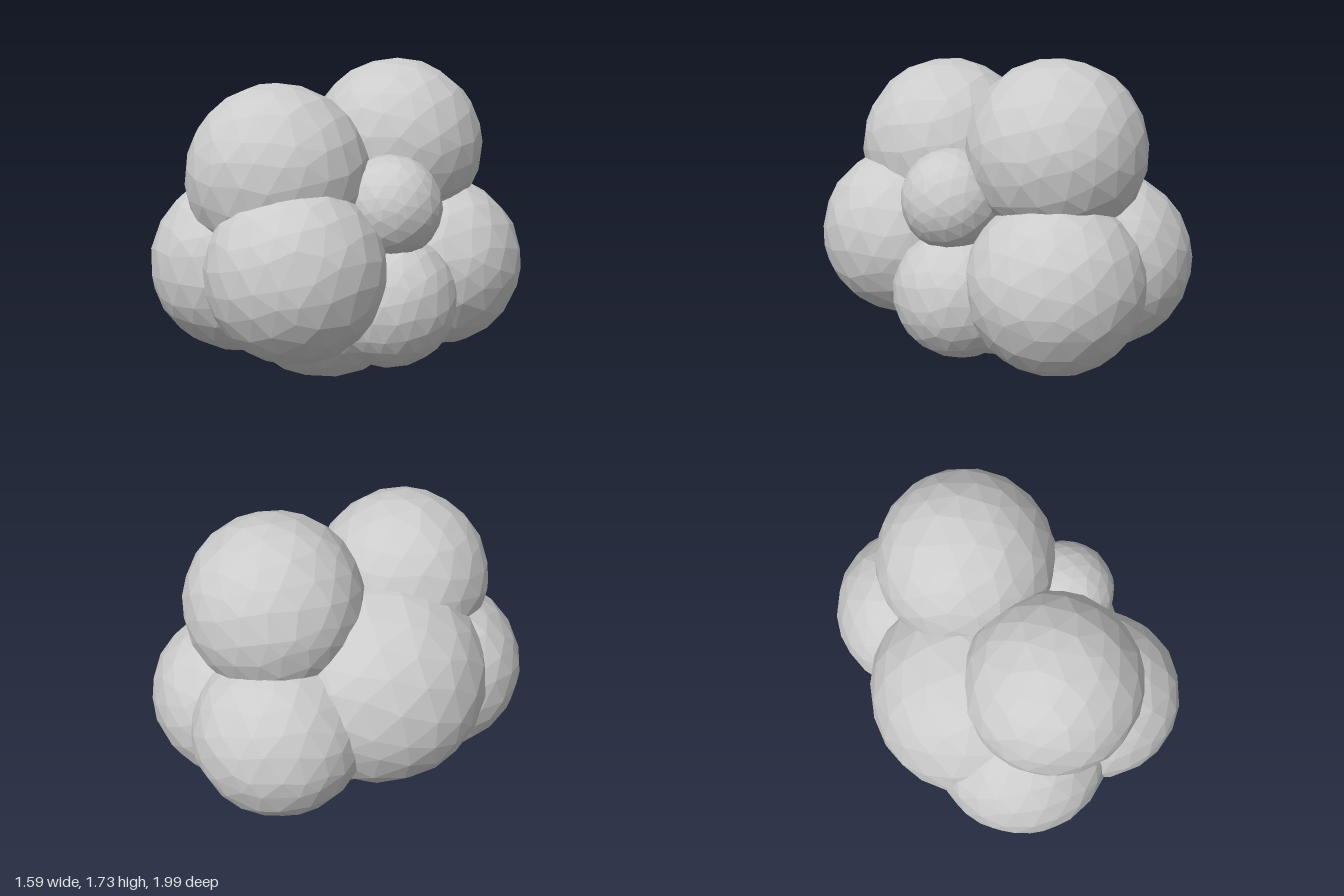
import * as THREE from 'three';
import { mergeVertices } from 'three/addons/utils/BufferGeometryUtils.js';

// Small seeded generator, returns values in -1..1
function seeded(seed) {
  let s = seed * 7919 + 17;
  return () => {
    s = (s * 16807) % 2147483647;
    return (s / 2147483647) * 2 - 1;
  };
}

// Faceted ball whose vertices slide slightly over the sphere for uneven facets
function facetedBall(radius, seed) {
  const rand = seeded(seed);
  let geo = new THREE.IcosahedronGeometry(1, 3);
  geo.deleteAttribute('uv');
  geo.deleteAttribute('normal');
  geo = mergeVertices(geo, 1e-4);
  const pos = geo.attributes.position;
  const v = new THREE.Vector3();
  for (let i = 0; i < pos.count; i++) {
    v.fromBufferAttribute(pos, i);
    v.x += rand() * 0.05;
    v.y += rand() * 0.05;
    v.z += rand() * 0.05;
    v.setLength(radius * (1.004 + rand() * 0.004));
    pos.setXYZ(i, v.x, v.y, v.z);
  }
  geo.rotateX(seed * 1.3);
  geo.rotateY(seed * 0.7);
  geo.computeVertexNormals();
  return geo;
}

export function createModel() {
  const group = new THREE.Group();
  group.name = 'ballCluster';
  const material = new THREE.MeshStandardMaterial({ color: 0xcccccc, flatShading: true });

  // name, centre x, y, z, radius
  const balls = [
    ['upperFrontBall', 0.06, 1.15, 0.43, 0.485],
    ['upperBackBall', 0.07, 1.25, -0.37, 0.48],
    ['lowerFrontLeftBall', 0.325, 0.695, 0.51, 0.47],
    ['lowerFrontRightBall', -0.18, 0.66, 0.515, 0.48],
    ['lowerBackLeftBall', 0.25, 0.6, -0.525, 0.475],
    ['lowerBackRightBall', -0.18, 0.63, -0.5, 0.475],
    ['largeSideBall', -0.2, 0.75, 0.12, 0.595],
    ['bottomBall', 0.02, 0.545, 0.1, 0.545],
    ['smallLowerSideBall', 0.44, 0.49, -0.02, 0.36],
    ['smallUpperSideBall', 0.47, 1.0, 0.0, 0.27],
  ];
  balls.forEach(([name, x, y, z, r], i) => {
    const ball = new THREE.Mesh(facetedBall(r, i + 1), material);
    ball.name = name;
    ball.position.set(x, y, z);
    group.add(ball);
  });
  return group;
}
